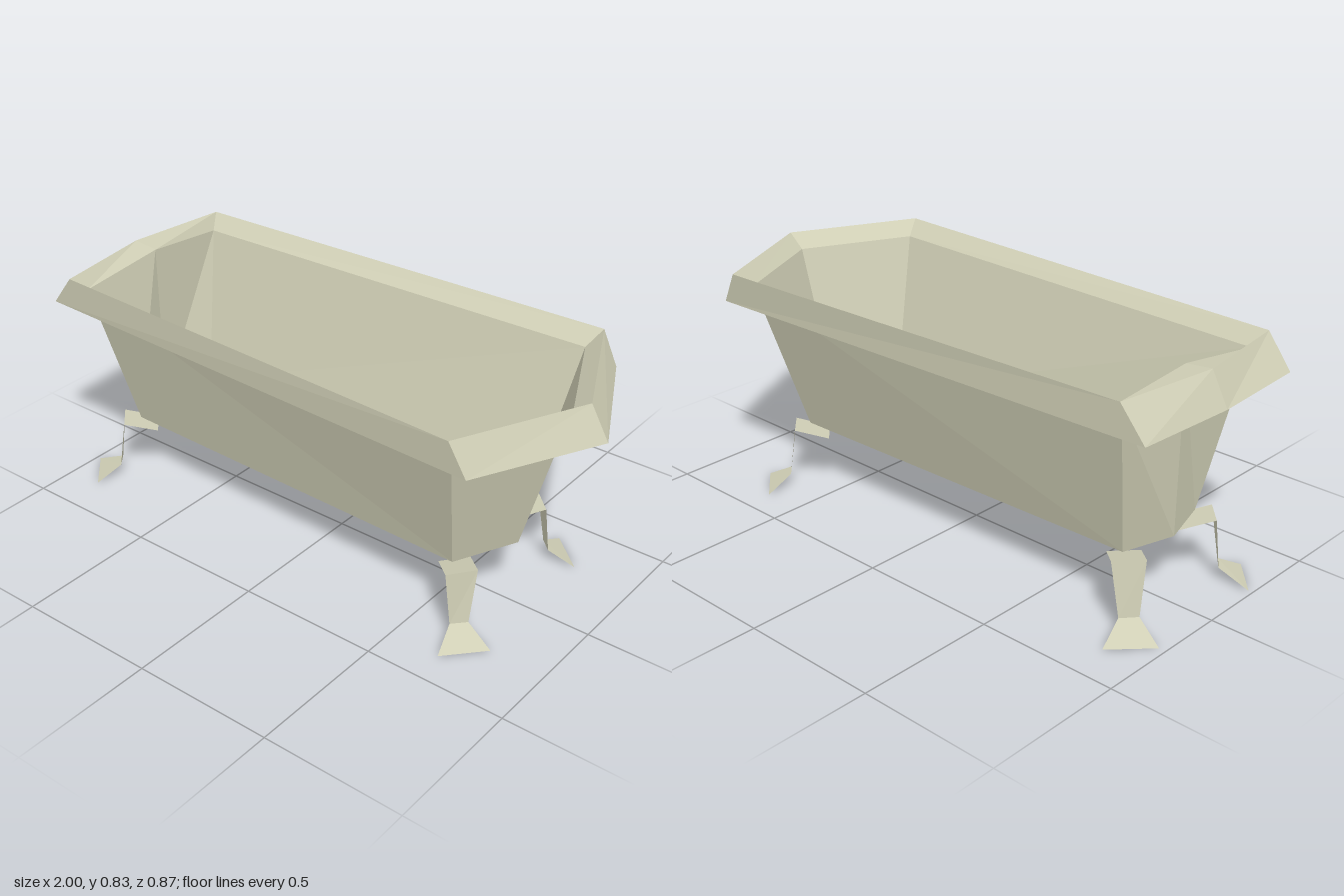
import * as THREE from 'three';

// six-sided ring: head centre, head corners, foot corners, foot tip
function ring(headX, headY, cornerX, cornerZ, footX, footZ, tipX, y) {
  return [
    [headX, headY, 0], [cornerX, y, cornerZ], [footX, y, footZ],
    [tipX, y, 0], [footX, y, -footZ], [cornerX, y, -cornerZ],
  ];
}

// flat-shaded surface joining successive rows of points
function loft(name, rows, closed, material, apex) {
  const pos = [];
  const tri = (...pts) => pts.forEach((p) => pos.push(...p));
  const n = rows[0].length;
  for (let r = 0; r + 1 < rows.length; r++) {
    for (let i = 0; i < (closed ? n : n - 1); i++) {
      const j = (i + 1) % n;
      const [a, b, c, d] = [rows[r][i], rows[r][j], rows[r + 1][j], rows[r + 1][i]];
      tri(a, b, c);
      tri(a, c, d);
    }
  }
  if (apex) {
    const last = rows[rows.length - 1];
    last.forEach((p, i) => tri(p, last[(i + 1) % n], apex));
  }
  const geo = new THREE.BufferGeometry();
  geo.setAttribute('position', new THREE.Float32BufferAttribute(pos, 3));
  geo.computeVertexNormals();
  const mesh = new THREE.Mesh(geo, material);
  mesh.name = name;
  return mesh;
}

export function createModel() {
  const group = new THREE.Group();
  group.name = 'bathtub';
  const enamel = new THREE.MeshStandardMaterial({
    color: 0xcfceb5, side: THREE.DoubleSide, flatShading: true,
  });
  enamel.name = 'cream enamel';

  // rings from the outer rim over the lip and down to the floor
  const skirt = ring(-1, 0.717, -0.98, 0.365, 0.785, 0.428, 1, 0.717);
  const lip = ring(-0.94, 0.83, -0.89, 0.37, 0.725, 0.436, 0.935, 0.83);
  const inner = ring(-0.845, 0.82, -0.86, 0.32, 0.695, 0.376, 0.875, 0.78);
  const floor = ring(-0.84, 0.237, -0.785, 0.187, 0.615, 0.219, 0.72, 0.237);

  group.add(loft('rim', [skirt, lip, inner], true, enamel));
  group.add(loft('basin', [inner, floor], true, enamel));
  group.add(loft('basinFloor', [floor], true, enamel, [0.51, 0.18, 0]));

  // each leg: sheet edges as [x, z] pairs at the top, ankle and toe
  const legs = {
    frontLeftLeg: [[[0.635, 0.285], [0.70, 0.20]], [[0.655, 0.28], [0.697, 0.235]], [[0.685, 0.385], [0.80, 0.26]]],
    backLeftLeg: [[[0.69, -0.22], [0.61, -0.297]], [[0.69, -0.255], [0.645, -0.297]], [[0.78, -0.285], [0.65, -0.40]]],
    frontRightLeg: [[[-0.875, 0.18], [-0.80, 0.26]], [[-0.875, 0.21], [-0.835, 0.26]], [[-0.985, 0.225], [-0.87, 0.35]]],
    backRightLeg: [[[-0.79, -0.25], [-0.865, -0.17]], [[-0.827, -0.25], [-0.87, -0.20]], [[-0.855, -0.36], [-0.975, -0.237]]],
  };
  for (const [name, [top, ankle, toe]] of Object.entries(legs)) {
    const at = (pair, y) => pair.map(([x, z]) => [x, y, z]);
    // mounting tab slopes inward under the tub
    const tab = top.map(([x, z]) => [x - 0.085 * Math.sign(x), z - 0.085 * Math.sign(z)]);
    const rows = [at(tab, 0.2), at(top, 0.233), at(ankle, 0.048), at(toe, 0)];
    group.add(loft(name, rows.reverse(), false, enamel));
  }
  return group;
}
